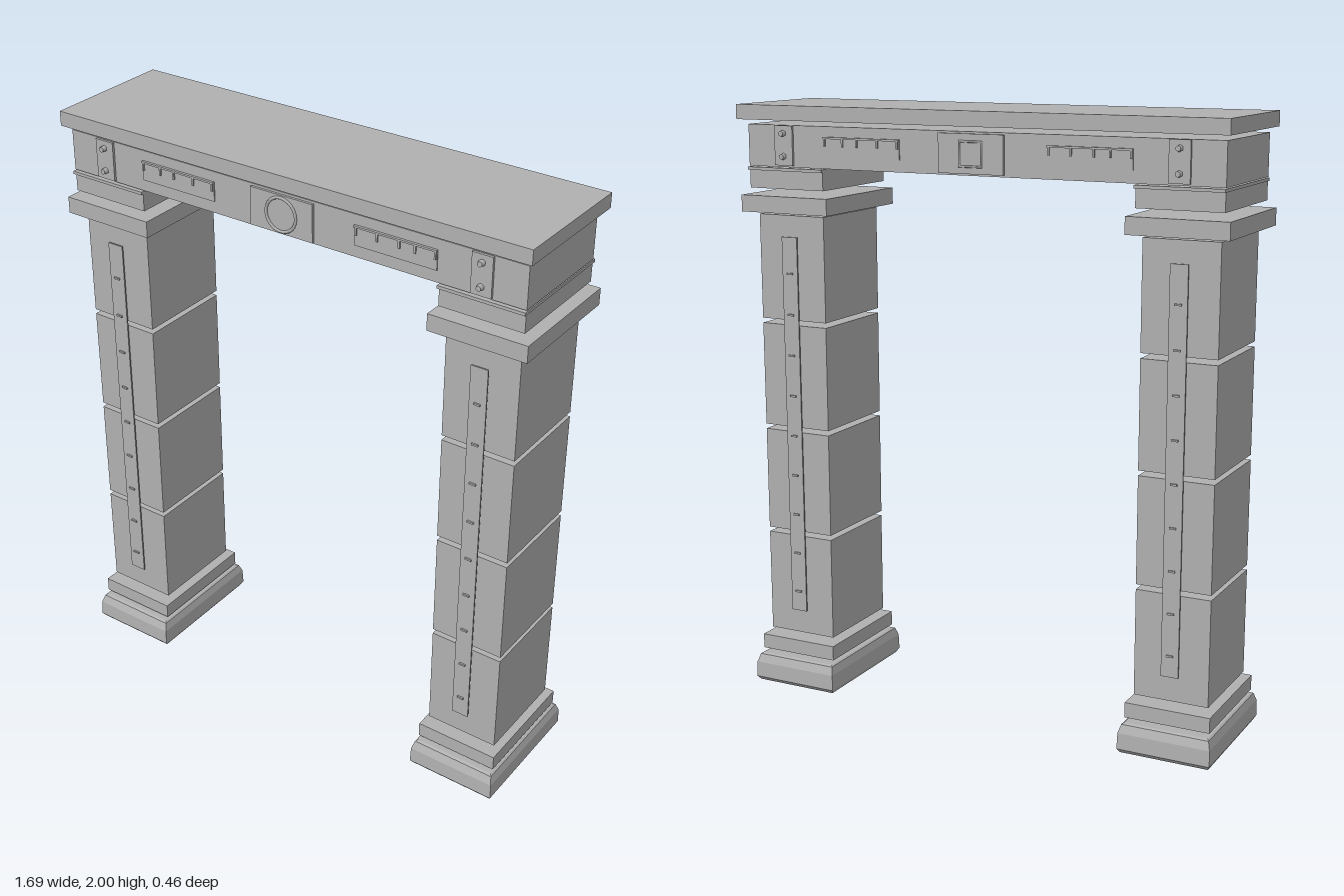
import * as THREE from 'three';

const stone = new THREE.MeshStandardMaterial({ color: 0xb0b0b0 });
stone.name = 'grey stone';

function add(parent, name, geometry, x, y, z) {
  const mesh = new THREE.Mesh(geometry, stone);
  mesh.name = name;
  mesh.position.set(x, y, z);
  parent.add(mesh);
  return mesh;
}

// Box given by its width, bottom, top and depth
function slab(parent, name, x, w, y0, y1, d, z = 0) {
  return add(parent, name, new THREE.BoxGeometry(w, y1 - y0, d), x, (y0 + y1) / 2, z);
}

// Four-sided faceted block: each profile entry is [half width ratio, y]
function facetedBlock(w, d, profile) {
  const points = profile.map(([r, y]) => new THREE.Vector2(r * Math.SQRT1_2, y));
  const geometry = new THREE.LatheGeometry(points, 4);
  geometry.rotateY(Math.PI / 4);
  geometry.scale(w, 1, d);
  const flat = geometry.toNonIndexed();
  flat.computeVertexNormals();
  return flat;
}

function createPillar(side) {
  const pillar = new THREE.Group();
  pillar.name = side > 0 ? 'leftPillar' : 'rightPillar';
  const x = side * 0.683;

  // Worn foot with chamfered edges and a slightly domed underside
  add(pillar, 'foot', facetedBlock(0.31, 0.46, [
    [0, 0], [0.95, 0.008], [1, 0.022], [0.99, 0.075], [0.94, 0.102], [0.9, 0.106], [0, 0.106],
  ]), x, 0, 0);
  slab(pillar, 'plinth', x, 0.284, 0.12, 0.17, 0.4);

  // Shaft of four separate blocks
  for (let i = 0; i < 4; i++) {
    const y = 0.19 + i * 0.3667;
    slab(pillar, 'shaftBlock', x, 0.248, y, y + 0.35, 0.338);
  }

  // Capital and neck
  slab(pillar, 'capital', x, 0.328, 1.65, 1.705, 0.425);
  slab(pillar, 'neck', x, 0.28, 1.728, 1.79, 0.385);
  slab(pillar, 'neckLip', x, 0.284, 1.787, 1.797, 0.405);

  // Inlaid strip with notches on front and back
  for (const f of [1, -1]) {
    slab(pillar, 'inlayStrip', x, 0.058, 0.275, 1.57, 0.005, f * 0.183);
    for (let i = 0; i < 9; i++) {
      const y = 0.345 + i * 0.138;
      slab(pillar, 'stripNotch', x, 0.022, y - 0.003, y + 0.003, 0.006, f * 0.188);
    }
  }
  return pillar;
}

// Ornaments on one face of the lintel
function createOrnaments(isFront) {
  const face = new THREE.Group();
  face.name = isFront ? 'frontOrnaments' : 'backOrnaments';

  // Central plaque with a raised ring
  slab(face, 'plaque', 0, 0.226, 1.806, 1.929, 0.008, 0.199);
  const ring = add(face, 'plaqueRing',
    new THREE.TorusGeometry(0.054, 0.005, 6, isFront ? 24 : 4), 0, 1.867, 0.204);
  if (!isFront) ring.rotation.z = Math.PI / 4;

  for (const side of [1, -1]) {
    // Corner plate with two bolts
    const x = side * 0.683;
    slab(face, 'cornerPlate', x, 0.068, 1.806, 1.934, 0.008, 0.199);
    for (const y of [1.835, 1.909]) {
      const bolt = add(face, 'bolt', new THREE.CylinderGeometry(0.009, 0.011, 0.016, 6), x, y, 0.21);
      bolt.rotation.x = Math.PI / 2;
    }
    // Slim panel with hanging teeth
    slab(face, 'frieze', side * 0.395, 0.28, 1.838, 1.902, 0.004, 0.194);
    slab(face, 'friezeRail', side * 0.395, 0.28, 1.896, 1.902, 0.006, 0.198);
    for (const tx of [0.53, 0.463, 0.41, 0.335, 0.262]) {
      slab(face, 'friezeTooth', side * tx, 0.006, 1.872, 1.896, 0.006, 0.198);
    }
  }
  if (!isFront) face.rotation.y = Math.PI;
  return face;
}

export function createModel() {
  const gate = new THREE.Group();
  gate.name = 'stoneGate';

  gate.add(createPillar(1), createPillar(-1));

  // Lintel and cornice slab
  slab(gate, 'lintel', 0, 1.648, 1.8, 1.935, 0.385);
  slab(gate, 'cornice', 0, 1.69, 1.952, 2, 0.45, -0.005);

  gate.add(createOrnaments(true), createOrnaments(false));
  return gate;
}
